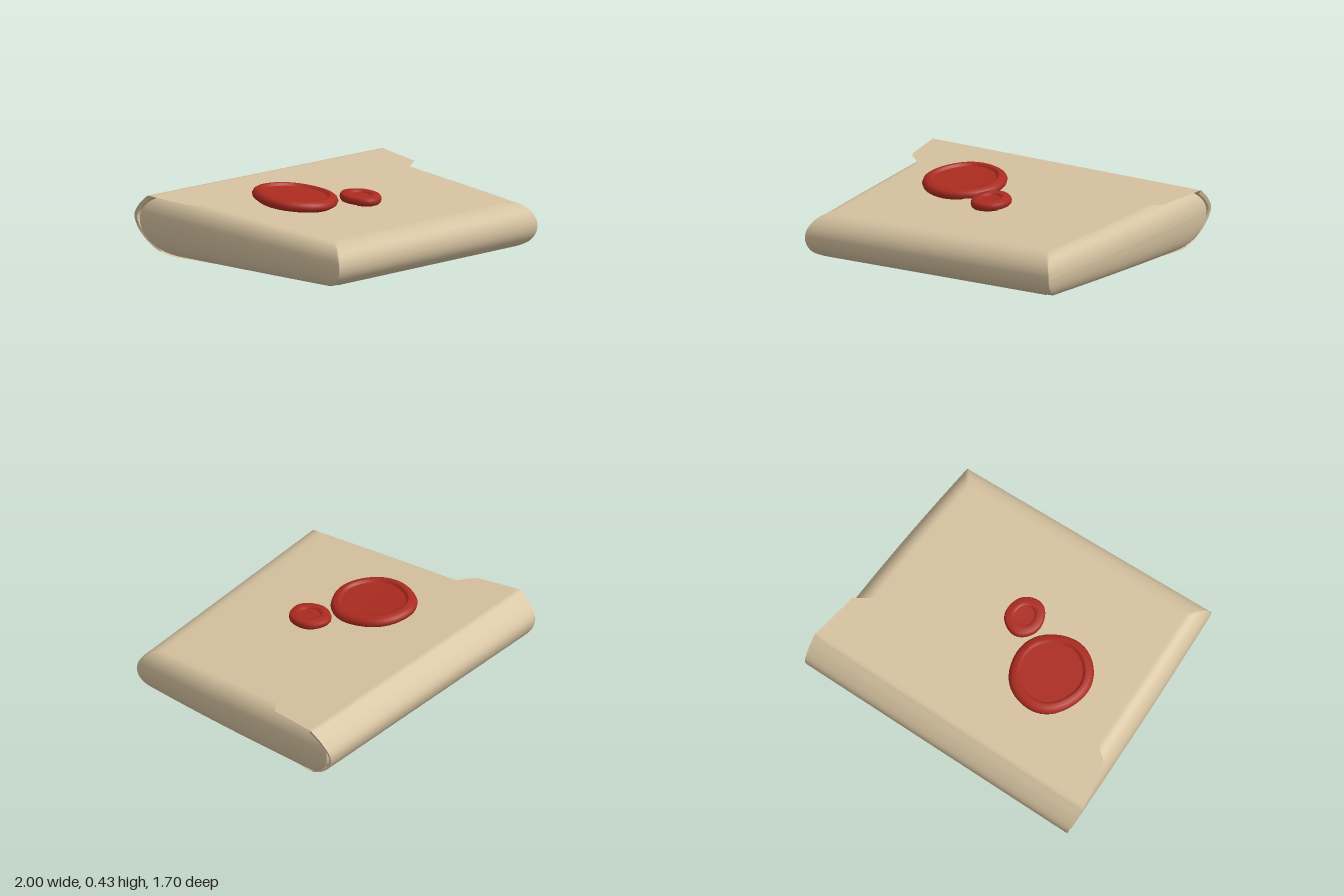
import * as THREE from 'three';
import { mergeGeometries, mergeVertices } from 'three/addons/utils/BufferGeometryUtils.js';

const lerp = THREE.MathUtils.lerp;
const topY = z => 0.338 - 0.064 * z;   // sloping upper face
const FLOOR = 0.02;

// grid surface from fn(i, j) -> [x, y, z]
function grid(nu, nv, fn, flip = false) {
  const pos = [], idx = [];
  for (let j = 0; j <= nv; j++) for (let i = 0; i <= nu; i++) pos.push(...fn(i, j));
  for (let j = 0; j < nv; j++) for (let i = 0; i < nu; i++) {
    const a = j * (nu + 1) + i, b = a + 1, c = a + nu + 1, d = c + 1;
    // diagonals follow the mitred corners
    const same = (i < nu / 2) === (j < nv / 2);
    const t = same ? [a, b, d, a, d, c] : [a, b, c, b, d, c];
    idx.push(...(flip ? t.reverse() : t));
  }
  const g = new THREE.BufferGeometry();
  g.setAttribute('position', new THREE.Float32BufferAttribute(pos, 3));
  g.setIndex(idx);
  g.computeVertexNormals();
  return g;
}

// edge rounding radii in u (sides) and v (front, back)
const ROUND = {
  top: { side: 0.06, front: 0.085, back: 0.1 },
  bottom: { side: 0.045, front: 0.1, back: 0.18 },
};
const bend = (d, r) => (d >= r ? 1 : Math.sqrt(Math.max(0, 1 - (1 - d / r) ** 2)));

// point on the parcel: u left edge to right edge, v front to back
function skin(u, v, half, off = 0) {
  const r = ROUND[half];
  const bulge = 4 * v * (1 - v);
  const x = lerp(-0.87 - 0.1 * v - 0.008 * bulge, 0.89 + 0.08 * v + 0.018 * bulge, u);
  const z = lerp(0.85 - 0.08 * u, -0.81, v);
  const fv = v < 0.5 ? bend(v, r.front) : bend(1 - v, r.back);
  const f = Math.min(bend(Math.min(u, 1 - u), r.side), fv);
  const mid = 0.155 + 0.08 * v;
  const y = half === 'top' ? lerp(mid, topY(z), f) + off : lerp(mid, FLOOR, f) - off;
  return [x, y, z + (v < 0.5 ? off * Math.sqrt(1 - f * f) : 0)];
}

// parameter steps, dense on the rounded ends
function steps(r0, r1) {
  const n = 10, m = 12, s = [];
  for (let i = 0; i <= n; i++) s.push(r0 * (1 - Math.cos(i / n * Math.PI / 2)));
  for (let i = 1; i < m; i++) s.push(lerp(r0, 1 - r1, i / m));
  for (let i = n; i >= 0; i--) s.push(1 - r1 * (1 - Math.cos(i / n * Math.PI / 2)));
  return s;
}

function bodyGeometry() {
  return mergeGeometries(['top', 'bottom'].map(h => {
    const r = ROUND[h], us = steps(r.side, r.side), vs = steps(r.front, r.back);
    return grid(us.length - 1, vs.length - 1, (i, j) => skin(us[i], vs[j], h), h === 'bottom');
  }));
}

// value of a row table [v, left, right, offset] at v
function rowAt(rows, v) {
  let k = 0;
  while (k < rows.length - 2 && v > rows[k + 1][0]) k++;
  const a = rows[k], b = rows[k + 1], t = (v - a[0]) / (b[0] - a[0]);
  return a.map((n, c) => lerp(n, b[c], t));
}

// folded flap lying on the parcel
function flapGeometry(rows, half) {
  const end = rows[rows.length - 1][0], nv = 48, nu = 60;
  return grid(nu, nv, (i, j) => {
    const [v, l, r, off] = rowAt(rows, end * (j / nv) ** 1.8);
    const s = 0.5 - 0.5 * Math.cos(Math.PI * i / nu);
    return skin(lerp(l, r, s), v, half, off);
  }, half === 'bottom');
}

// sheet between left and right points, rows [z, y, xLeft, xRight]
function sheetGeometry(rows) {
  const nu = 24;
  return grid(nu, rows.length - 1, (i, j) => {
    const [z, y, l, r] = rows[j];
    return [lerp(l, r, i / nu), y, z];
  });
}

// pressed wax disc: rim round a shallow flat pit of relative radius pit
function sealGeometry(rx, rz, h, pit, phase) {
  const profile = [[0, 0], [0.9, 0], [0.98, 0.22], [1, 0.48], [0.97, 0.76], [0.91, 0.93],
    [lerp(pit, 0.91, 0.4), 1], [pit + 0.02, 0.98], [pit, 0.78], [pit - 0.03, 0.76], [0, 0.76]]
    .map(p => new THREE.Vector2(p[0], p[1]));
  let g = new THREE.LatheGeometry(profile, 48);
  const p = g.attributes.position;
  for (let i = 0; i < p.count; i++) {
    const x = p.getX(i), z = p.getZ(i), a = Math.atan2(z, x);
    const k = 1 + 0.012 * Math.sin(3 * a + phase) + 0.01 * Math.sin(5 * a - phase);
    p.setXYZ(i, x * rx * k, p.getY(i) * h, z * rz * k);
  }
  g.deleteAttribute('uv');
  g.deleteAttribute('normal');
  g = mergeVertices(g, 1e-4);
  g.computeVertexNormals();
  return g;
}

export function createModel() {
  const group = new THREE.Group();
  const paper = new THREE.MeshStandardMaterial({ color: 0xd4c19f, side: THREE.DoubleSide });
  paper.name = 'parchment';
  const wax = new THREE.MeshStandardMaterial({ color: 0xab2b20 });
  wax.name = 'red wax';
  const add = (name, geo, mat) => {
    const m = new THREE.Mesh(geo, mat);
    m.name = name;
    group.add(m);
    return m;
  };

  // stuffed envelope body
  add('body', bodyGeometry(), paper);

  // front flaps folded over the top and under the bottom
  add('frontFlap', flapGeometry([[0, 0, 1, 0.002], [0.1, 0.06, 0.9, 0.006],
    [0.4, 0.43, 0.6, 0.007], [0.46, 0.51, 0.53, 0.007]], 'top'), paper);
  add('bottomFlap', flapGeometry([[0, 0, 1, 0.001], [0.06, 0.05, 0.95, 0.003], [0.34, 0.33, 0.65, 0.004],
    [0.42, 0.42, 0.58, 0.02], [0.5, 0.46, 0.49, 0.004]], 'bottom'), paper);

  // closing flap, overhanging the sides at the back
  const flap = [[0.25, 0, 0.02], [0.13, -0.2, 0.19], [-0.11, -0.6, 0.56], [-0.38, -0.92, 0.95],
    [-0.42, -0.95, 0.955], [-0.56, -0.975, 0.975], [-0.66, -0.99, 0.99], [-0.69, -0.995, 0.995]]
    .map(([z, l, r]) => [z, topY(z) + 0.012, l, r]);

  // its sheet carries on round the back and tucks under the parcel
  const curve = new THREE.CatmullRomCurve3([[-0.71, 0.396], [-0.79, 0.333], [-0.846, 0.255], [-0.835, 0.18],
    [-0.77, 0.1], [-0.68, 0.046], [-0.57, 0.02], [-0.4, 0.016], [-0.25, 0.021]]
    .map(([z, y]) => new THREE.Vector3(0, y, z)));
  const wrap = curve.getPoints(48).map(p => {
    const high = p.y > 0.25 ? lerp(0.98, 1, (p.y - 0.25) / 0.146) : lerp(0.925, 0.98, p.y / 0.25);
    const w = high - 0.055 * THREE.MathUtils.smoothstep(p.z, -0.7, -0.4);
    return [p.z, p.y, -w, w];
  });
  add('closingFlap', sheetGeometry([...flap, ...wrap]), paper);

  // rolled lip along both open ends, at the back only
  const last = wrap.findIndex(([z, y]) => y < 0.1 && z > -0.68);
  for (const side of [-1, 1]) {
    add(side > 0 ? 'leftLip' : 'rightLip', grid(1, last, (i, j) => {
      const [z, y, , w] = wrap[j];
      const t = curve.getTangent(j / (wrap.length - 1));
      const d = i * 0.025 * (1 - j / last * 0.6);
      return [side * (w - i * 0.006), y + d * t.z, z - d * t.y];
    }), paper);
  }

  // wax seals
  const big = add('largeSeal', sealGeometry(0.255, 0.275, 0.066, 0.76, 0.6), wax);
  big.position.set(-0.335, 0.35, -0.1);
  big.rotation.set(0.085, 0, -0.03);
  const small = add('smallSeal', sealGeometry(0.12, 0.138, 0.054, 0.5, 2.1), wax);
  small.position.set(0.012, 0.338, 0.12);
  small.rotation.x = 0.07;

  return group;
}
